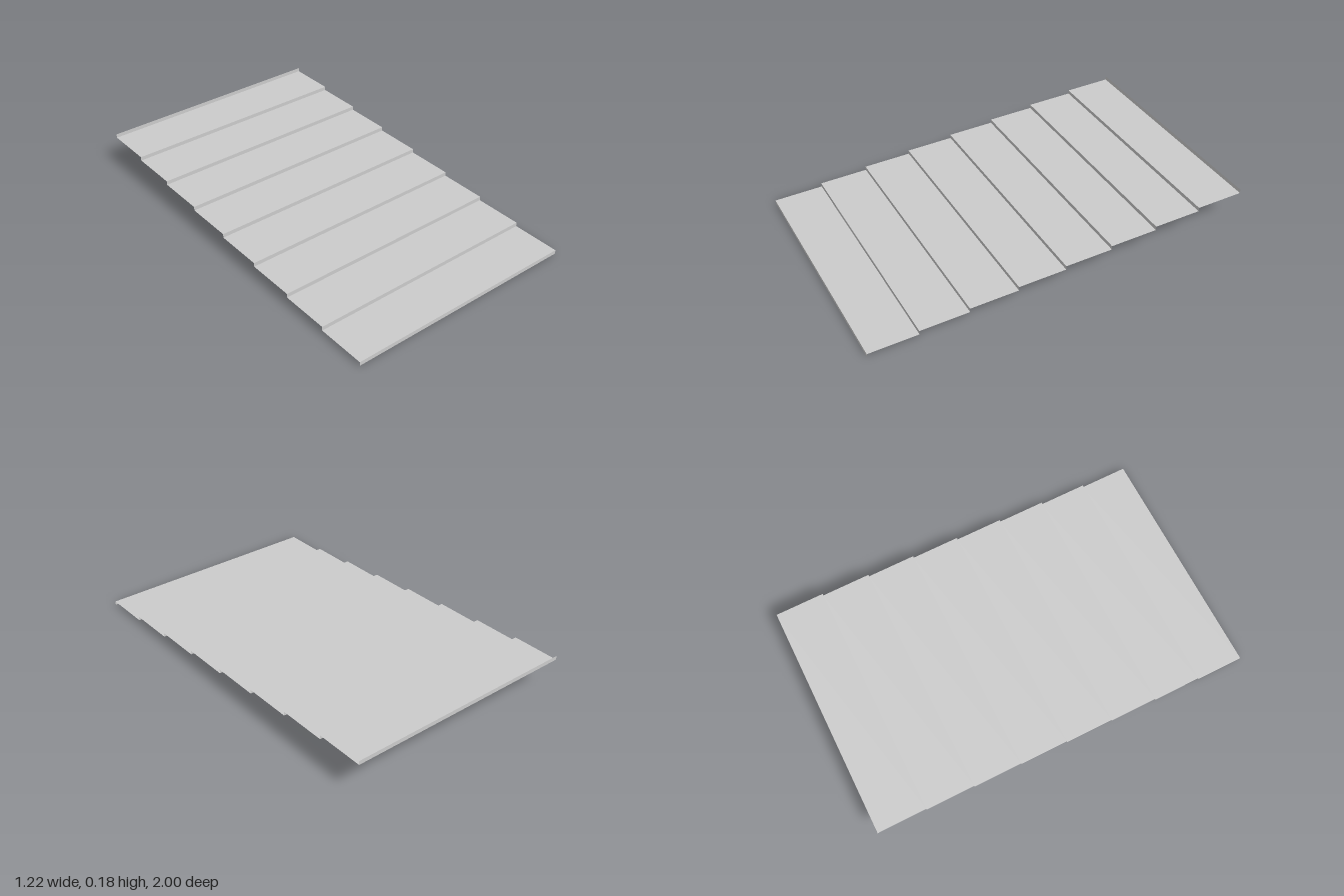
import * as THREE from 'three';

export function createModel() {
  const group = new THREE.Group();
  group.name = 'steppedRamp';
  const material = new THREE.MeshStandardMaterial({ color: 0xcccccc, side: THREE.DoubleSide });

  const steps = 8, width = 1.22, depth = 0.25, rise = 0.0203;
  const treadGeometry = new THREE.PlaneGeometry(width, depth).rotateX(-Math.PI / 2);
  const riserGeometry = new THREE.PlaneGeometry(width, rise);

  const add = (name, geometry, y, z) => {
    const mesh = new THREE.Mesh(geometry, material);
    mesh.name = name;
    mesh.position.set(0, y, z);
    group.add(mesh);
  };

  // Thin treads climbing from front to back
  for (let i = 0; i < steps; i++) {
    add(`tread${i + 1}`, treadGeometry, rise * (i + 1), 1 - depth * (i + 0.5));
  }
  // Risers in front of every tread, plus one standing at the back edge
  for (let i = 0; i <= steps; i++) {
    add(`riser${i + 1}`, riserGeometry, rise * (i + 0.5), 1 - depth * i);
  }
  return group;
}
